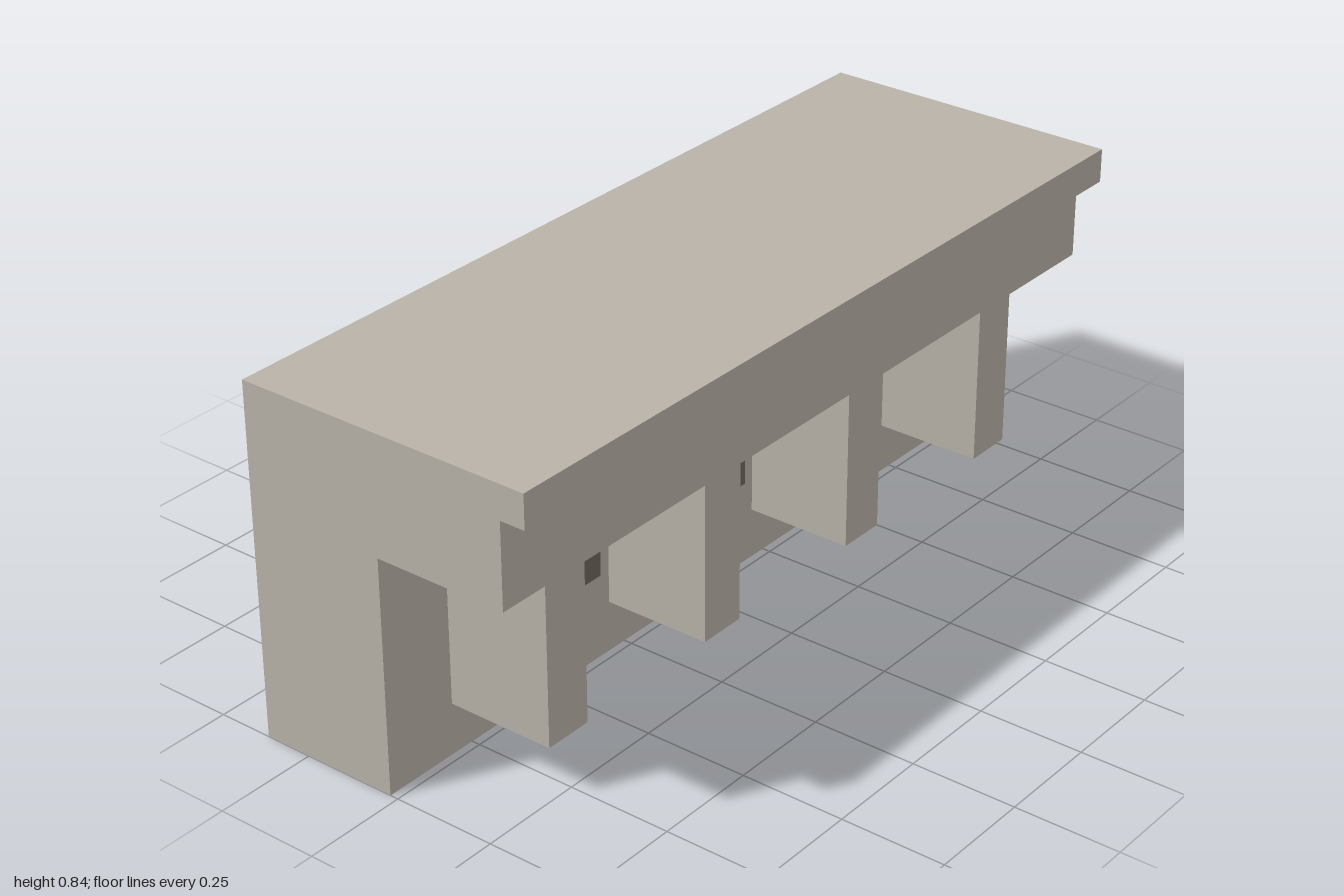
import * as THREE from 'three';

export function createModel() {
  const model = new THREE.Group();
  model.name = 'corniceBlock';

  const stone = new THREE.MeshStandardMaterial({ color: 0xb8b2a7 });
  stone.name = 'paleStone';
  const dark = new THREE.MeshStandardMaterial({ color: 0x6e645e });
  dark.name = 'darkOpening';

  // Box given by its lower and upper bounds on each axis
  function block(name, material, [x0, x1], [y0, y1], [z0, z1]) {
    const mesh = new THREE.Mesh(new THREE.BoxGeometry(x1 - x0, y1 - y0, z1 - z0), material);
    mesh.position.set((x0 + x1) / 2, (y0 + y1) / 2, (z0 + z1) / 2);
    mesh.name = name;
    model.add(mesh);
  }

  // Wall, frieze and projecting cornice: one stepped profile (z, y) run along x
  const wallFront = -0.02;
  const profile = new THREE.Shape([
    [-0.366, 0], [wallFront, 0], [wallFront, 0.561], [0.305, 0.561],
    [0.305, 0.763], [0.366, 0.763], [0.366, 0.843], [-0.366, 0.843],
  ].map(([z, y]) => new THREE.Vector2(-z, y)));
  const geometry = new THREE.ExtrudeGeometry(profile, { depth: 2, bevelEnabled: false });
  geometry.translate(0, 0, -1);
  geometry.rotateY(Math.PI / 2);
  const wall = new THREE.Mesh(geometry, stone);
  wall.name = 'wallAndCornice';
  model.add(wall);

  // Brackets under the frieze, with a dark opening between each pair
  const spacing = 0.507;
  for (let i = 0; i < 4; i++) {
    const x = -0.747 + i * spacing;
    block('bracket', stone, [x - 0.06, x + 0.06], [0.123, 0.561], [wallFront, 0.243]);
    if (i < 3) {
      const c = x + spacing / 2;
      block('opening', dark, [c - 0.163, c + 0.163], [0.205, 0.406], [wallFront, wallFront + 0.003]);
    }
  }

  return model;
}
